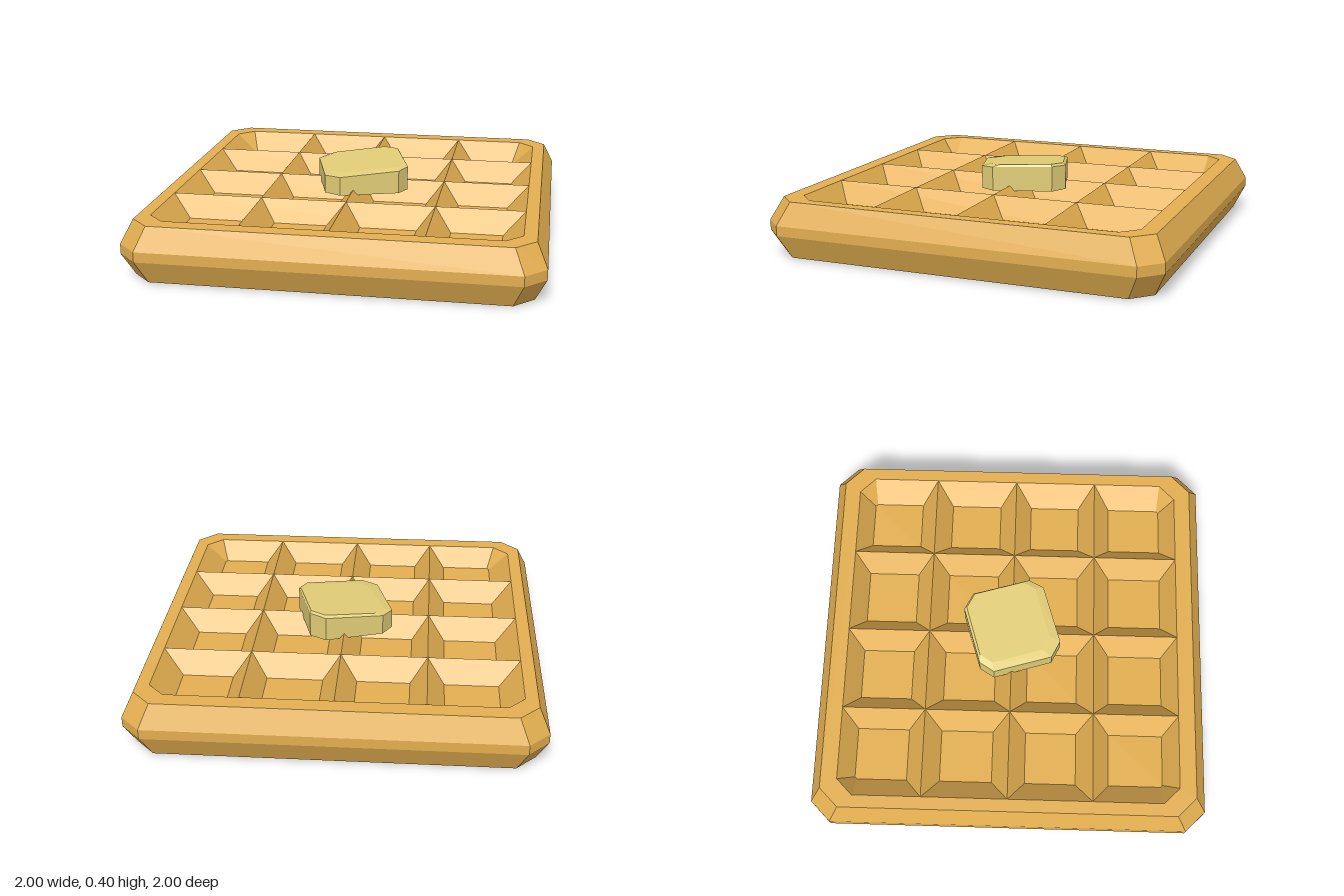
import * as THREE from 'three';
import { ConvexGeometry } from 'three/addons/geometries/ConvexGeometry.js';

const waffle = new THREE.MeshStandardMaterial({ color: 0xe2ae50 });
waffle.name = 'golden waffle';
const butterYellow = new THREE.MeshStandardMaterial({ color: 0xe0cc76 });
butterYellow.name = 'butter yellow';

function add(group, name, geometry, material) {
  const mesh = new THREE.Mesh(geometry, material);
  mesh.name = name;
  group.add(mesh);
  return mesh;
}

// Rectangle with cut corners, running from +x towards +z
function cutRectangle(hx, hz, cut, y) {
  return [
    [hx, -hz + cut], [hx, hz - cut], [hx - cut, hz], [-hx + cut, hz],
    [-hx, hz - cut], [-hx, -hz + cut], [-hx + cut, -hz], [hx - cut, -hz],
  ].map(([x, z]) => new THREE.Vector3(x, y, z));
}

// Closed ring of flat faces joining a loop of cut rectangles
function rimGeometry(rings) {
  const points = [];
  rings.forEach((a, i) => {
    const b = rings[(i + 1) % rings.length];
    a.forEach((p, j) => {
      const k = (j + 1) % a.length;
      points.push(p, b[j], b[k], p, b[k], a[k]);
    });
  });
  const geometry = new THREE.BufferGeometry().setFromPoints(points);
  geometry.computeVertexNormals();
  return geometry;
}

// Diamond-section bar lying along z
function ridgeGeometry(length) {
  const geometry = new THREE.CylinderGeometry(1, 1, length, 4).toNonIndexed();
  geometry.rotateX(Math.PI / 2);
  geometry.scale(0.117, 0.142, 1);
  geometry.computeVertexNormals();
  return geometry;
}

export function createModel() {
  const model = new THREE.Group();
  model.name = 'waffle with butter';

  // Bevelled rim: half width, half depth, corner cut, height
  const section = [
    [1, 1, 0.1, 0.125], [1, 1, 0.1, 0.175],
    [0.948, 0.945, 0.095, 0.287], [0.885, 0.862, 0.08, 0.287],
    [0.78, 0.785, 0.01, 0.185], [0.78, 0.785, 0.01, 0.11],
    [0.885, 0.862, 0.08, 0.008], [0.948, 0.945, 0.095, 0.008],
  ];
  add(model, 'rim', rimGeometry(section.map((s) => cutRectangle(...s))), waffle);

  // Floor shared by the upper and lower pockets
  add(model, 'pocketFloor', new THREE.BoxGeometry(1.57, 0.075, 1.58), waffle).position.y = 0.1475;

  // Crossing ridges
  for (const x of [-0.43, 0, 0.445]) {
    add(model, 'lengthwiseRidge', ridgeGeometry(1.73), waffle).position.set(x, 0.145, 0);
  }
  for (const z of [-0.437, -0.003, 0.425]) {
    const ridge = add(model, 'crosswiseRidge', ridgeGeometry(1.77), waffle);
    ridge.rotation.y = Math.PI / 2;
    ridge.position.set(0, 0.145, z);
  }

  // Tilted butter pat, bevelled mostly along its low front and left edges
  const outline = [
    [-0.24, -0.09], [-0.195, -0.165], [0.09, -0.255], [0.175, -0.21],
    [0.262, 0.08], [0.225, 0.155], [-0.065, 0.248], [-0.15, 0.205],
  ];
  const corners = [];
  for (const [x, z] of outline) {
    const y = 0.37 + 0.06 * x - 0.04 * z;
    corners.push(
      new THREE.Vector3(x, 0.26, z),
      new THREE.Vector3(x, y, z),
      new THREE.Vector3(x * 0.88 + 0.015, y + 0.012, z * 0.86 - 0.022),
    );
  }
  add(model, 'butterPat', new ConvexGeometry(corners), butterYellow);

  return model;
}
